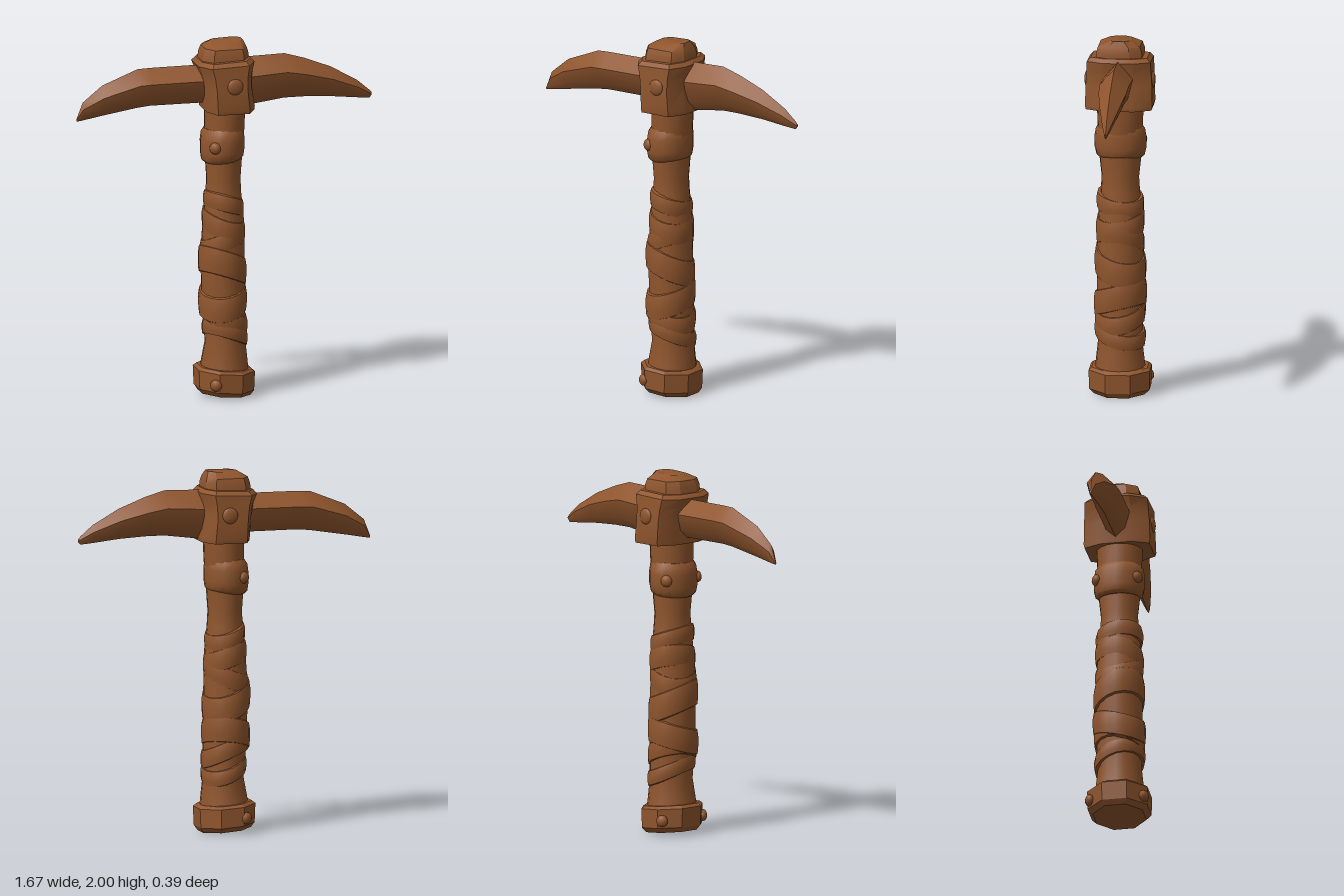
import * as THREE from 'three';
import { toCreasedNormals } from 'three/addons/utils/BufferGeometryUtils.js';

// Closed skin through rings of [x, y, z] points, with both ends capped
function loft(rings, crease) {
  const n = rings[0].length, pos = rings.flat(2), idx = [];
  for (let i = 0; i < rings.length - 1; i++) {
    for (let j = 0; j < n; j++) {
      const k = (j + 1) % n, a = i * n + j, b = i * n + k;
      idx.push(a, a + n, b, b, a + n, b + n);
    }
  }
  const last = (rings.length - 1) * n;
  for (let j = 1; j < n - 1; j++) {
    idx.push(0, j, j + 1, last, last + j + 1, last + j);
  }
  const g = new THREE.BufferGeometry();
  g.setAttribute('position', new THREE.Float32BufferAttribute(pos, 3));
  g.setIndex(idx);
  return toCreasedNormals(g, crease);
}

// Elliptical ring; tx and tz tilt it along x and z
function ring(cx, y, rx, rz, sides, turn = 0, tx = 0, tz = 0) {
  return Array.from({ length: sides }, (_, j) => {
    const a = (j / sides) * Math.PI * 2 + turn;
    const c = Math.cos(a), s = Math.sin(a);
    return [cx + rx * c, y + tx * c + tz * s, rz * s];
  });
}

// Eight-cornered ring with broad front and back faces
function blockRing(y, xl, xr, z, tilt = 0) {
  const fx = 0.66, fz = 0.48;
  return [[xr, fz * z], [xr * fx, z], [xl * fx, z], [xl, fz * z],
    [xl, -fz * z], [xl * fx, -z], [xr * fx, -z], [xr, -fz * z]]
    .map(([x, zz]) => [x, y + tilt * x, zz]);
}

export function createModel() {
  const model = new THREE.Group();
  const brown = new THREE.MeshStandardMaterial({ color: 0x8f552d });
  brown.name = 'brown';
  const add = (name, geometry) => {
    const mesh = new THREE.Mesh(geometry, brown);
    mesh.name = name;
    model.add(mesh);
    return mesh;
  };

  // Handle: [centre x, y, half width, half depth]
  add('handle', loft([
    [0, 0.12, 0.135, 0.145], [0, 0.18, 0.13, 0.135], [0.005, 0.3, 0.112, 0.122],
    [-0.005, 0.5, 0.12, 0.13], [-0.01, 0.8, 0.122, 0.128], [-0.005, 1.0, 0.112, 0.122],
    [-0.005, 1.14, 0.098, 0.108], [-0.005, 1.22, 0.094, 0.103], [-0.005, 1.36, 0.103, 0.118],
    [0, 1.5, 0.11, 0.124], [0.003, 1.66, 0.113, 0.13],
  ].map(([cx, y, rx, rz]) => ring(cx, y, rx, rz, 16)), 0.7));

  // Slanted wrapping: [centre x, y, height, half width, half depth, tilt x, tilt z]
  [
    [-0.005, 1.08, 0.1, 0.11, 0.131, -0.03, 0.015],
    [-0.005, 0.96, 0.13, 0.118, 0.134, -0.035, -0.02],
    [-0.01, 0.87, 0.12, 0.124, 0.133, 0.05, 0.02],
    [-0.012, 0.73, 0.16, 0.133, 0.142, -0.045, 0.03],
    [-0.01, 0.54, 0.15, 0.133, 0.146, 0.02, -0.035],
    [-0.005, 0.45, 0.11, 0.132, 0.14, -0.05, -0.02],
    [0.002, 0.35, 0.09, 0.125, 0.141, -0.04, 0.03],
  ].forEach(([cx, y, h, rx, rz, tx, tz], i) => {
    const rows = [[-0.5, -0.022], [-0.44, -0.004], [-0.15, 0], [0.2, 0], [0.44, -0.006], [0.5, -0.024]];
    add('wrap' + (i + 1), loft(rows.map(([t, d]) =>
      ring(cx, y + t * h, rx + d, rz + d, 18, 0, tx, tz)), 0.7));
  });

  // Collar below the head
  add('collar', loft([
    [1.325, 0.1, 0.115], [1.34, 0.116, 0.132], [1.38, 0.121, 0.142],
    [1.45, 0.121, 0.142], [1.49, 0.116, 0.135], [1.515, 0.1, 0.118],
  ].map(([y, rx, rz]) => ring(-0.012, y, rx, rz, 16, 0, 0.01, 0)), 0.7));

  // Octagonal pommel
  add('pommel', loft([
    [0.012, 0.147, 0.15], [0.04, 0.166, 0.18], [0.145, 0.171, 0.182], [0.16, 0.15, 0.165],
  ].map(([y, rx, rz]) => ring(-0.002, y, rx, rz, 8, Math.PI / 8, -0.012, 0)), 0.5));

  // Curved pick blade: [x, bottom y, top y, half depth]
  add('pickBlade', loft([
    [-0.835, 1.585, 1.6, 0.005], [-0.8, 1.59, 1.69, 0.02], [-0.69, 1.61, 1.78, 0.05],
    [-0.49, 1.643, 1.86, 0.075], [-0.42, 1.65, 1.863, 0.082], [-0.13, 1.65, 1.865, 0.082],
    [0.13, 1.622, 1.895, 0.082], [0.34, 1.65, 1.9, 0.082], [0.45, 1.65, 1.868, 0.076],
    [0.6, 1.642, 1.81, 0.056], [0.75, 1.626, 1.725, 0.028], [0.82, 1.62, 1.665, 0.01],
    [0.833, 1.635, 1.65, 0.004],
  ].map(([x, b, t, z]) => [[0, 0], [0.65, 0.22], [1, 0.64], [0, 1], [-1, 0.64], [-0.65, 0.22]]
    .map(([w, v]) => [x, b + v * (t - b), w * z])), 0.65));

  // Head block, pinched at the middle
  add('headBlock', loft([
    blockRing(1.615, -0.12, 0.148, 0.18), blockRing(1.635, -0.122, 0.15, 0.185),
    blockRing(1.75, -0.13, 0.132, 0.182), blockRing(1.82, -0.143, 0.135, 0.178),
    blockRing(1.88, -0.165, 0.15, 0.175, 0.04), blockRing(1.902, -0.145, 0.13, 0.155, 0.04),
  ], 0.5));

  // Cap on top of the handle
  add('cap', loft([
    blockRing(1.86, -0.14, 0.12, 0.128), blockRing(1.93, -0.132, 0.122, 0.126),
    blockRing(1.965, -0.12, 0.112, 0.115), blockRing(1.995, -0.075, 0.098, 0.06, 0.04),
  ], 0.5));

  // Rivets on front and back: [x, y, z, radius]
  const dome = new THREE.SphereGeometry(1, 12, 8);
  [['head', 0.017, 1.77, 0.18, 0.045], ['collar', -0.08, 1.415, 0.115, 0.033],
    ['pommel', -0.085, 0.087, 0.152, 0.033]].forEach(([part, x, y, z, r]) => {
    for (const side of [1, -1]) {
      const rivet = add(part + (side > 0 ? 'FrontRivet' : 'BackRivet'), dome);
      rivet.position.set(x, y, z * side);
      rivet.rotation.y = part === 'head' ? 0 : -0.5 * side;
      rivet.scale.set(r, r, part === 'head' ? 0.016 : 0.024);
    }
  });

  return model;
}
